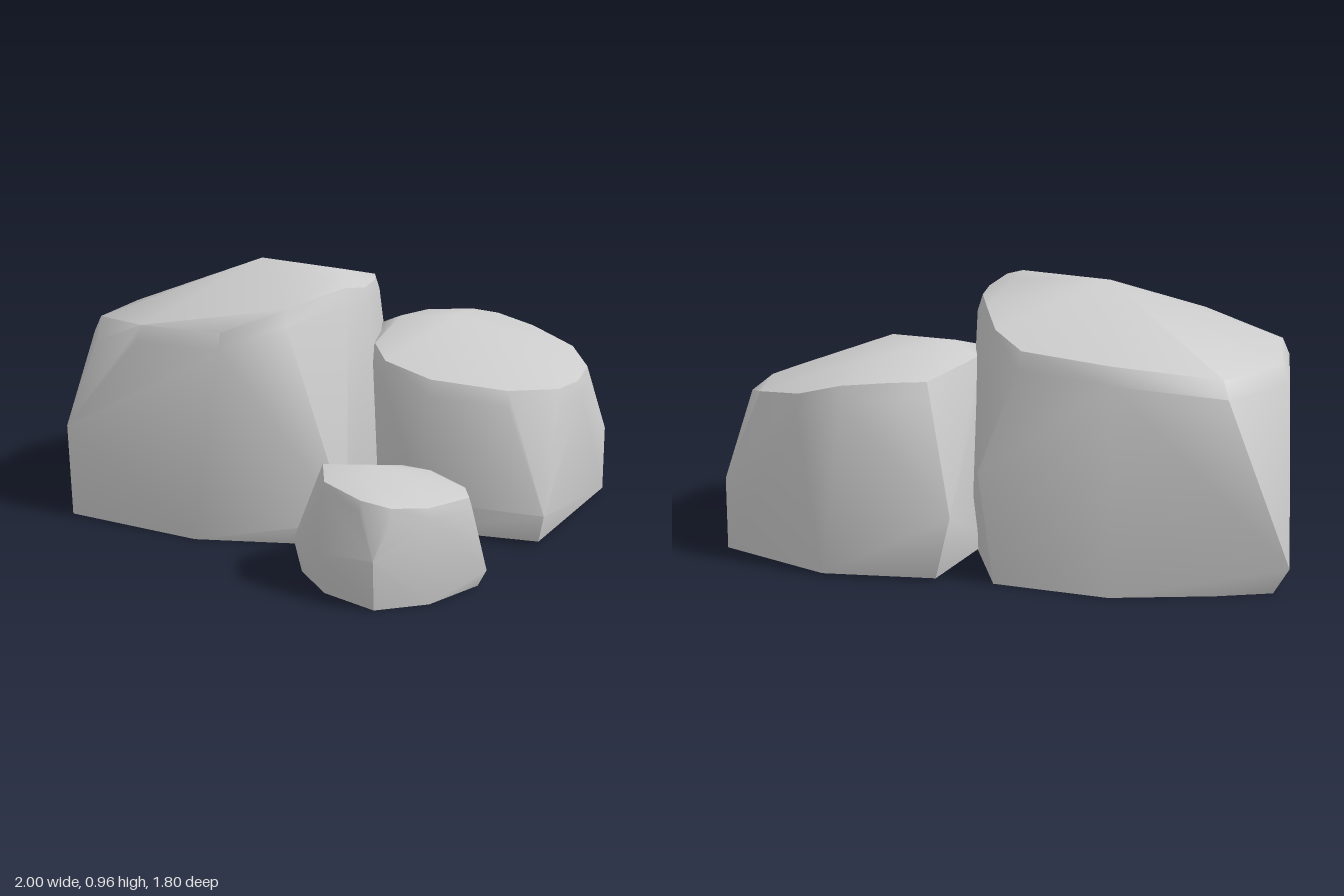
import * as THREE from 'three';
import { ConvexGeometry } from 'three/addons/geometries/ConvexGeometry.js';
import { toCreasedNormals } from 'three/addons/utils/BufferGeometryUtils.js';

const material = new THREE.MeshStandardMaterial({ color: 0xcccccc, side: THREE.DoubleSide });

// A boulder is the hull of its foot, a rim with a chamfer, and a peak; the underside is left open.
// All points are [x, y, z].
function boulder(name, { peak, rim, foot, chamfer }) {
  const points = [...peak, ...foot].map(p => new THREE.Vector3(...p));
  const centre = new THREE.Vector3();
  rim.forEach(p => centre.add(new THREE.Vector3(...p)));
  centre.divideScalar(rim.length);
  for (const [x, y, z] of rim) {
    points.push(new THREE.Vector3(x, y - chamfer, z));
    // crown edge, pulled in from the rim
    points.push(new THREE.Vector3(
      THREE.MathUtils.lerp(x, centre.x, 0.04), y, THREE.MathUtils.lerp(z, centre.z, 0.04)));
  }

  const hull = new ConvexGeometry(points).getAttribute('position');
  const kept = [];
  for (let i = 0; i < hull.count; i += 3) {
    const corners = [i, i + 1, i + 2];
    if (corners.every(k => hull.getY(k) < 0.02)) continue;
    corners.forEach(k => kept.push(hull.getX(k), hull.getY(k), hull.getZ(k)));
  }
  const geometry = new THREE.BufferGeometry();
  geometry.setAttribute('position', new THREE.Float32BufferAttribute(kept, 3));
  geometry.computeVertexNormals();
  const mesh = new THREE.Mesh(toCreasedNormals(geometry, 0.8), material);
  mesh.name = name;
  return mesh;
}

export function createModel() {
  const group = new THREE.Group();
  group.name = 'boulders';

  group.add(boulder('largeBoulder', {
    chamfer: 0.06,
    peak: [[-0.35, 0.965, -0.28], [0, 0.95, -0.2], [0, 0.94, 0]],
    rim: [
      [-0.99, 0.72, -0.5], [-0.78, 0.74, -0.83], [-0.4, 0.79, -0.89], [-0.08, 0.81, -0.79],
      [0.03, 0.85, -0.65], [0.09, 0.89, -0.45], [0.13, 0.9, -0.28], [0.13, 0.9, -0.1],
      [0.08, 0.92, 0.04], [-0.1, 0.87, 0.25], [-0.33, 0.79, 0.35], [-0.7, 0.775, 0.22],
      [-0.93, 0.68, 0.12], [-1, 0.73, -0.1],
    ],
    // each corner tucks in at the ground and rises upright before it tapers
    foot: [
      [-0.95, 0, -0.79], [-1, 0.1, -0.82], [-0.76, 0, -0.84], [-0.4, 0, -0.9],
      [0, 0, -0.82], [0.05, 0.4, -0.83], [0.18, 0, -0.25], [0.19, 0.1, 0],
      [0.11, 0, 0.3], [0.15, 0.1, 0.32], [-0.43, 0, 0.37],
      [-0.99, 0, 0.21], [-1, 0.36, 0.21],
    ],
  }));

  group.add(boulder('mediumBoulder', {
    chamfer: 0.06,
    peak: [[0.43, 0.76, -0.35], [0.2, 0.745, -0.35], [0.45, 0.735, -0.6]],
    rim: [
      [0.22, 0.69, -0.77], [0.35, 0.69, -0.8], [0.52, 0.68, -0.82], [0.68, 0.64, -0.79],
      [0.87, 0.6, -0.62], [0.95, 0.56, -0.45], [0.94, 0.56, -0.2], [0.88, 0.56, -0.05],
      [0.7, 0.57, 0.07], [0.4, 0.6, 0.09], [0.2, 0.64, 0], [0.13, 0.68, -0.12],
      [0.09, 0.7, -0.4],
    ],
    foot: [
      [0.2, 0.01, -0.82], [0.14, 0.25, -0.87], [0.6, 0.01, -0.82], [1, 0.01, -0.61],
      [1, 0.27, -0.6], [0.83, 0.01, 0.1], [0.85, 0.12, 0.13], [0.38, 0.01, 0.08],
      [0.38, 0.13, 0.1], [0.2, 0.01, 0], [0.06, 0.01, -0.4],
    ],
  }));

  group.add(boulder('smallBoulder', {
    chamfer: 0.04,
    peak: [[0.35, 0.427, 0.62], [0.3, 0.42, 0.73]],
    rim: [
      [0.15, 0.37, 0.48], [0.22, 0.35, 0.4], [0.36, 0.345, 0.33], [0.47, 0.34, 0.35],
      [0.63, 0.34, 0.52], [0.66, 0.33, 0.6], [0.55, 0.34, 0.78], [0.43, 0.35, 0.85],
      [0.32, 0.37, 0.85], [0.17, 0.4, 0.77], [0.12, 0.41, 0.6],
    ],
    foot: [
      [0.05, 0, 0.59], [0.02, 0.12, 0.59], [0.18, 0, 0.77], [0.16, 0.15, 0.79],
      [0.38, 0, 0.88], [0.38, 0.18, 0.9], [0.55, 0, 0.78], [0.68, 0, 0.57],
      [0.71, 0.06, 0.57], [0.41, 0, 0.28], [0.41, 0.17, 0.27], [0.18, 0.1, 0.41],
      [0.19, 0, 0.42],
    ],
  }));

  return group;
}
